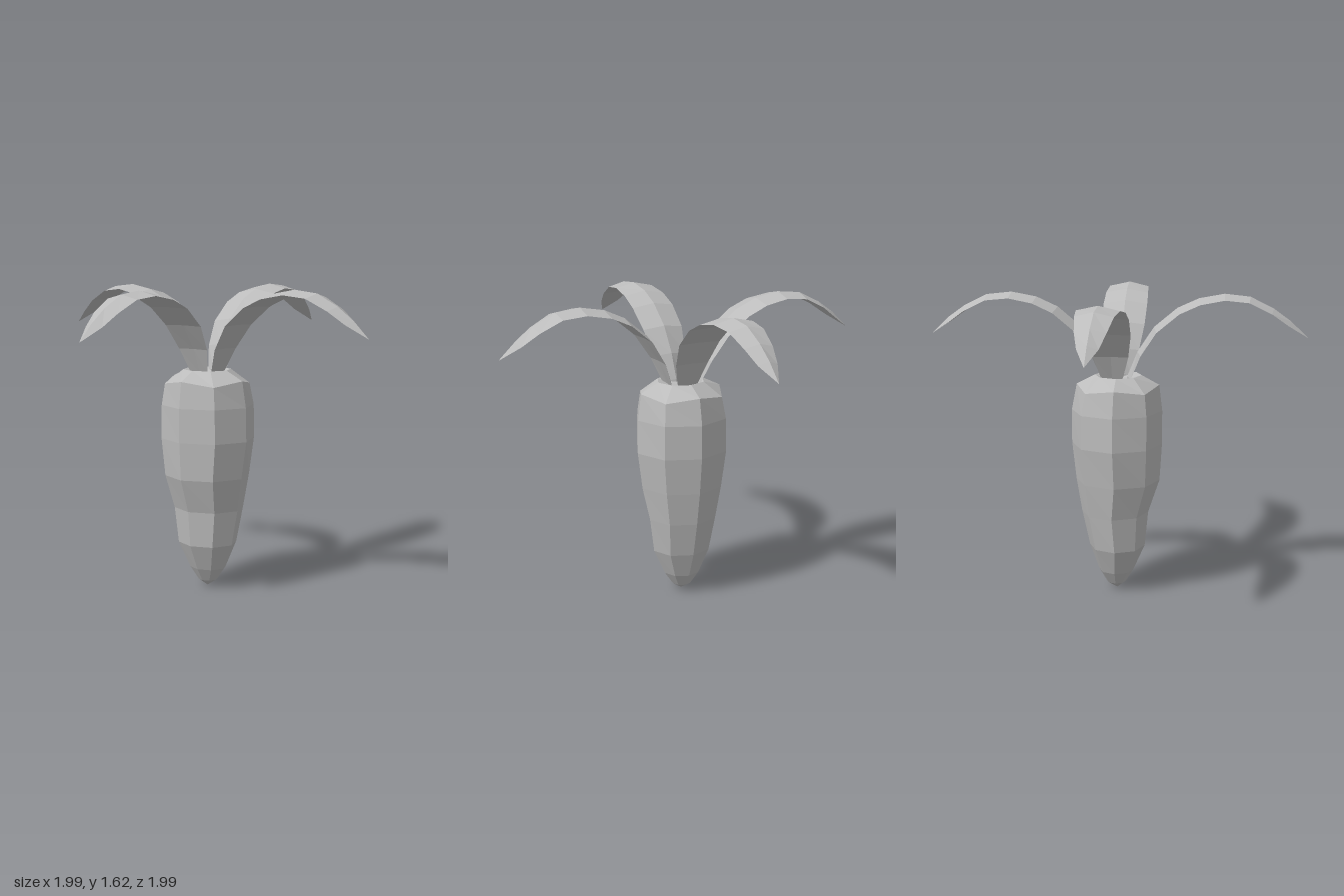
import * as THREE from 'three';

const grey = new THREE.MeshStandardMaterial({ color: 0xbcbcbc, flatShading: true });
grey.name = 'plain grey';

// Skins a list of equally sized rings of points into a faceted surface.
function loft(rings) {
  const n = rings[0].length;
  const index = [];
  for (let i = 0; i < rings.length - 1; i++) {
    for (let j = 0; j < n; j++) {
      const k = (j + 1) % n;
      const a = i * n + j, b = (i + 1) * n + j, c = (i + 1) * n + k, d = i * n + k;
      index.push(a, b, c, a, c, d);
    }
  }
  const indexed = new THREE.BufferGeometry();
  indexed.setAttribute('position', new THREE.Float32BufferAttribute(rings.flat(2), 3));
  indexed.setIndex(index);
  const geometry = indexed.toNonIndexed();
  geometry.computeVertexNormals();
  return geometry;
}

// Root: eight-sided rings of [y, x radius, z radius, x shift, corner drop].
function rootGeometry() {
  const profile = [
    [0.005, 0, 0, 0, 0],
    [0.04, 0.052, 0.052, 0.005, 0],
    [0.11, 0.094, 0.1, 0.005, 0],
    [0.25, 0.15, 0.163, 0, 0],
    [0.44, 0.18, 0.192, 0.012, 0],
    [0.62, 0.225, 0.228, -0.003, 0],
    [0.82, 0.242, 0.256, 0.002, 0],
    [1.0, 0.242, 0.252, 0.002, 0],
    [1.14, 0.22, 0.232, -0.003, 0.025],
    [1.19, 0.125, 0.13, -0.005, 0],
    [1.17, 0.06, 0.06, 0, 0],
    [1.165, 0, 0, 0, 0],
  ];
  return loft(profile.map(([y, rx, rz, cx, drop]) =>
    Array.from({ length: 8 }, (_, j) => {
      const a = (j / 8) * Math.PI * 2;
      return [cx + rx * Math.cos(a), y - (j % 2) * drop, rz * Math.sin(a)];
    })));
}

// Leaf: arching blade along +z with a raised midrib, as [reach, y, half width].
function leafGeometry() {
  const path = [
    [0.05, 1.155, 0],
    [0.062, 1.18, 0.055],
    [0.115, 1.31, 0.092],
    [0.2, 1.44, 0.115],
    [0.32, 1.54, 0.12],
    [0.43, 1.59, 0.117],
    [0.56, 1.614, 0.108],
    [0.69, 1.6, 0.095],
    [0.81, 1.54, 0.077],
    [0.9, 1.475, 0.052],
    [0.995, 1.397, 0],
  ];
  return loft(path.map(([z, y, w], i) => {
    const p = path[Math.max(i - 1, 0)], q = path[Math.min(i + 1, path.length - 1)];
    const len = Math.hypot(q[0] - p[0], q[1] - p[1]);
    const nz = -(q[1] - p[1]) / len, ny = (q[0] - p[0]) / len;
    const s = Math.min(1, w / 0.05);
    const section = [[0, 0.01], [w, -0.014], [0, -0.01], [-w, -0.014]];
    return section.map(([x, h]) => [x, y + ny * h * s, z + nz * h * s]);
  }));
}

export function createModel() {
  const model = new THREE.Group();
  model.name = 'rootVegetable';

  const root = new THREE.Mesh(rootGeometry(), grey);
  root.name = 'root';
  model.add(root);

  // Four leaves in a cross, each turned and shifted slightly off its axis.
  const blade = leafGeometry();
  const leaves = [
    ['frontLeaf', 0, -0.012, 0, 0],
    ['leftLeaf', Math.PI / 2, 0, 0, 0],
    ['backLeaf', Math.PI - 0.035, 0, 0.018, 0],
    ['rightLeaf', -Math.PI / 2 + 0.02, 0, 0, 0],
  ];
  for (const [name, turn, x, backX, z] of leaves) {
    const leaf = new THREE.Mesh(blade, grey);
    leaf.name = name;
    leaf.rotation.y = turn;
    leaf.position.set(x + backX, 0, z);
    model.add(leaf);
  }
  return model;
}
